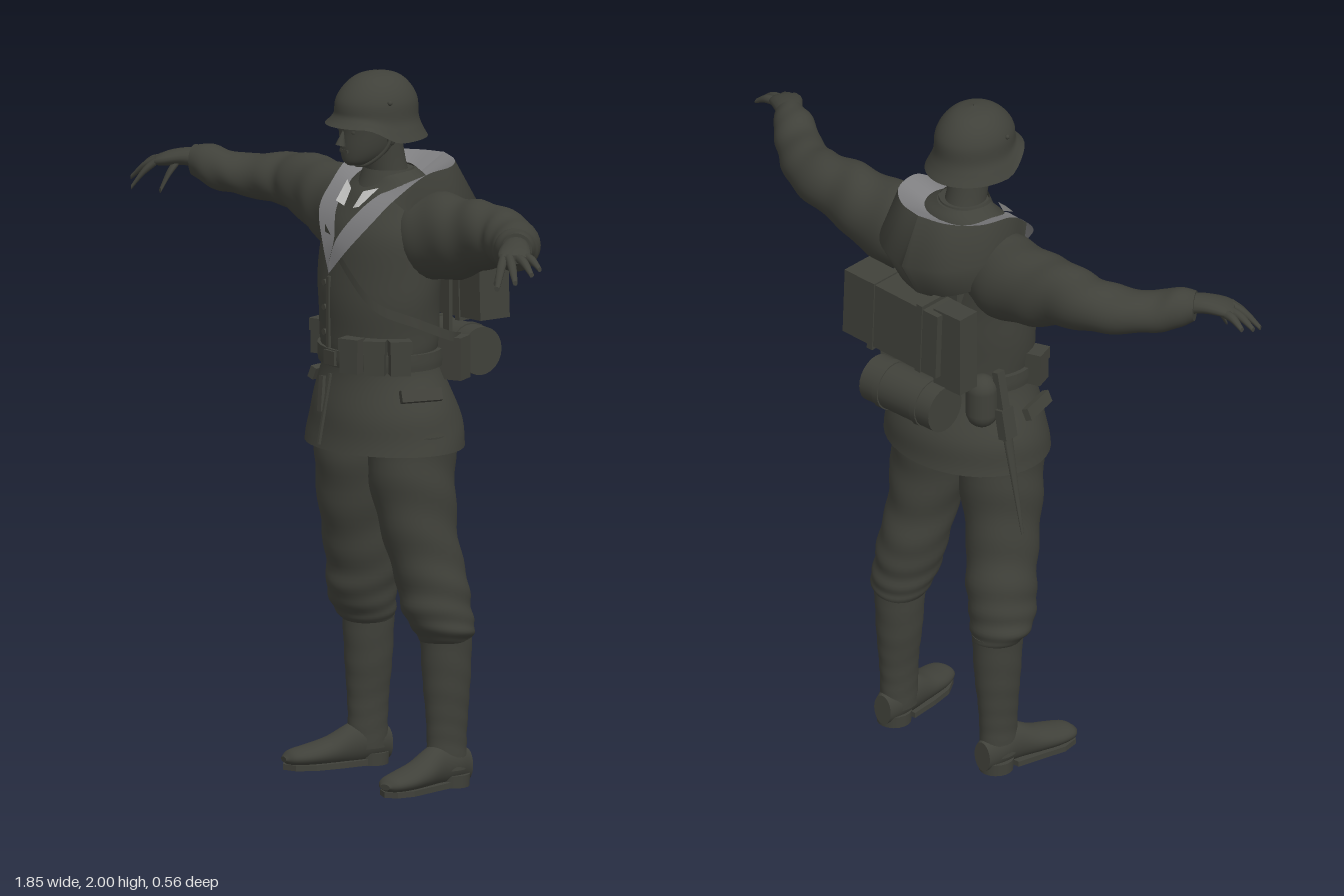
import * as THREE from 'three';

const cloth = new THREE.MeshStandardMaterial({ color: 0x40413a, side: THREE.DoubleSide });
cloth.name = 'dark field grey';
const lining = new THREE.MeshStandardMaterial({ color: 0x808082, side: THREE.DoubleSide });
lining.name = 'grey lining';
const pale = new THREE.MeshStandardMaterial({ color: 0xc4c4c2, side: THREE.DoubleSide });
pale.name = 'pale collar patch';

const V = (p) => new THREE.Vector3(...p);
const spline = (pts) => new THREE.CatmullRomCurve3(pts.map(V), false, 'catmullrom', 0.5);

// Grid of points to geometry
function gridGeometry(rows, closed, caps) {
  const pos = [], idx = [], n = rows[0].length;
  rows.forEach((r) => r.forEach((p) => pos.push(p.x, p.y, p.z)));
  const m = closed ? n : n - 1;
  for (let i = 0; i < rows.length - 1; i++) {
    for (let j = 0; j < m; j++) {
      const a = i * n + j, b = i * n + (j + 1) % n;
      idx.push(a, a + n, b, b, a + n, b + n);
    }
  }
  if (caps) {
    [[rows[0], 0], [rows[rows.length - 1], (rows.length - 1) * n]].forEach(([r, o], k) => {
      const c = r.reduce((s, p) => s.add(p), new THREE.Vector3()).divideScalar(n);
      const ci = pos.length / 3, ring = ci + 1;
      pos.push(c.x, c.y, c.z);
      r.forEach((p) => pos.push(p.x, p.y, p.z));
      for (let j = 0; j < n; j++) {
        const a = ring + j, b = ring + (j + 1) % n;
        k ? idx.push(a, ci, b) : idx.push(a, b, ci);
      }
    });
  }
  // Signed volume decides which way a closed form must wind
  let vol = 0;
  const at = (i) => new THREE.Vector3(pos[3 * i], pos[3 * i + 1], pos[3 * i + 2]);
  for (let i = 0; i < idx.length; i += 3) vol += at(idx[i]).dot(at(idx[i + 1]).cross(at(idx[i + 2])));
  if (closed && vol < 0) idx.reverse();
  const g = new THREE.BufferGeometry();
  g.setAttribute('position', new THREE.Float32BufferAttribute(pos, 3));
  g.setIndex(idx);
  g.computeVertexNormals();
  return g;
}

// Sections are [x, y, z, a, b]. Upright: a along x, b along z. Otherwise: a along y, b sideways.
function loft(secs, { upright = true, side = 1, fold = 0, seg = 28, caps = true, steps = 6 } = {}) {
  const path = spline(secs.map((s) => [s[0] * side, s[1], s[2]]));
  const size = spline(secs.map((s) => [s[3], s[4], 0]));
  const rows = [], count = (secs.length - 1) * steps;
  for (let i = 0; i <= count; i++) {
    const t = i / count, c = path.getPoint(t), r = size.getPoint(t), d = path.getTangent(t);
    const u = upright ? V([1, 0, 0]) : V([0, 1, 0]);
    const v = upright ? V([0, 0, 1]) : V([d.z, 0, -d.x]).normalize();
    const row = [];
    for (let j = 0; j < seg; j++) {
      const th = j / seg * Math.PI * 2;
      const k = 1 + fold * Math.sin(t * 38 + 3 * Math.sin(th + 0.6) * side);
      row.push(c.clone().addScaledVector(u, r.x * k * Math.cos(th)).addScaledVector(v, r.y * k * Math.sin(th)));
    }
    rows.push(row);
  }
  return gridGeometry(rows, true, caps);
}

// Open sheet through matching curves
function sheet(rows, n = 28, side = 1) {
  return gridGeometry(rows.map((r) => spline(r.map((p) => [p[0] * side, p[1], p[2]])).getPoints(n)), false, false);
}
const strapSheet = (pts, w) => sheet([-w, w].map((o) => pts.map((p) => [p[0], p[1] + o, p[2]])));

export function createModel() {
  const group = new THREE.Group();
  const add = (name, geo, mat = cloth, p = [0, 0, 0], r = [0, 0, 0]) => {
    const m = new THREE.Mesh(geo, mat);
    m.name = name;
    m.position.set(...p);
    m.rotation.set(...r);
    group.add(m);
    return m;
  };
  const box = (name, s, p, r, mat) => add(name, new THREE.BoxGeometry(...s), mat, p, r);

  // Jacket with flared skirt
  add('jacket', loft([[0, 0.95, 0.03, 0.252, 0.205], [0, 1.05, 0.03, 0.235, 0.19], [0, 1.18, 0.045, 0.185, 0.15],
    [0, 1.26, 0.05, 0.19, 0.15], [0, 1.4, 0.05, 0.203, 0.15], [0, 1.55, 0.035, 0.205, 0.145],
    [0, 1.64, 0.015, 0.17, 0.12], [0, 1.69, 0.005, 0.12, 0.09], [0, 1.72, 0.01, 0.07, 0.07]], { seg: 40, fold: 0.008 }));
  box('jacketPlacket', [0.012, 0.2, 0.01], [-0.03, 1.33, 0.2]);
  box('skirtOpening', [0.008, 0.2, 0.008], [-0.02, 1.06, 0.222], [-0.2, 0, 0]);
  box('hangingTie', [0.018, 0.1, 0.01], [-0.04, 1.1, 0.218], [-0.15, 0, 0.1]);
  for (let i = 0; i < 3; i++) {
    add('button', new THREE.CylinderGeometry(0.009, 0.009, 0.008, 10), cloth, [-0.05, 1.27 + i * 0.07, 0.2], [Math.PI / 2, 0, 0]);
  }

  // Neck, head and face
  add('neck', loft([[0, 1.66, 0.01, 0.062, 0.064], [0, 1.74, 0.03, 0.055, 0.06], [0, 1.82, 0.05, 0.055, 0.065]]));
  add('head', loft([[0, 1.743, 0.125, 0.022, 0.03], [0, 1.755, 0.112, 0.042, 0.055], [0, 1.785, 0.092, 0.061, 0.08],
    [0, 1.83, 0.082, 0.072, 0.091], [0, 1.88, 0.077, 0.076, 0.096], [0, 1.94, 0.065, 0.065, 0.08]]));
  add('nose', new THREE.ConeGeometry(0.015, 0.05, 8), cloth, [0, 1.825, 0.176], [-0.25, 0, 0]);
  box('mouth', [0.036, 0.008, 0.012], [0, 1.785, 0.167]);
  add('innerCollar', loft([[0, 1.63, 0.025, 0.1, 0.105], [0, 1.68, 0.02, 0.085, 0.085], [0, 1.725, 0.018, 0.07, 0.07]], { caps: false }));

  // Helmet: dome and flared rim, raised over the face
  const helmet = loft([[0, 1.813, 0.06, 0.128, 0.15], [0, 1.84, 0.06, 0.116, 0.134], [0, 1.87, 0.06, 0.105, 0.124],
    [0, 1.92, 0.06, 0.101, 0.12], [0, 1.96, 0.058, 0.082, 0.096], [0, 1.988, 0.056, 0.05, 0.058], [0, 2, 0.055, 0.002, 0.002]],
  { seg: 40, caps: false });
  const hp = helmet.attributes.position;
  for (let i = 0; i < hp.count; i++) {
    const lift = THREE.MathUtils.smoothstep(hp.getZ(i), 0.06, 0.17) * Math.max(0, 1.9 - hp.getY(i)) * 0.5;
    hp.setY(i, hp.getY(i) + lift);
  }
  helmet.computeVertexNormals();
  add('helmet', helmet);

  // Open hood: grey turned-out lapel and the bag behind
  const rim = [[-0.02, 1.44, 0.208], [0.06, 1.52, 0.2], [0.125, 1.6, 0.165], [0.15, 1.66, 0.11], [0.175, 1.725, 0.02],
    [0.155, 1.735, -0.08], [0.085, 1.738, -0.145], [0, 1.742, -0.17]];
  const throat = [[-0.02, 1.47, 0.208], [0.005, 1.54, 0.2], [0.045, 1.61, 0.165], [0.075, 1.665, 0.105], [0.088, 1.69, 0.02],
    [0.08, 1.69, -0.04], [0.05, 1.69, -0.07], [0, 1.69, -0.08]];
  const fall = [[0.17, 1.63, 0.08], [0.19, 1.65, 0.0], [0.185, 1.63, -0.1], [0.115, 1.62, -0.2], [0, 1.61, -0.237]];
  const hem = [[0.17, 1.6, 0.06], [0.18, 1.58, -0.01], [0.16, 1.54, -0.09], [0.09, 1.51, -0.15], [0, 1.49, -0.17]];
  for (const s of [1, -1]) {
    // The lapels meet at the same low point, just off centre
    const shift = (c) => c.map((p, i) => (i === 0 ? [-0.02 * s, p[1], p[2]] : p));
    add('hoodLining', sheet([shift(rim), shift(throat)], 40, s), lining);
    add('hoodBag', sheet([rim.slice(3), fall, hem], 28, s));
    add('collarPatch', sheet([[[0.075, 1.685, 0.105], [0.028, 1.67, 0.125]], [[0.055, 1.635, 0.158], [0.02, 1.625, 0.155]]], 2, s), pale);

    // Face details and chin strap
    box('brow', [0.032, 0.009, 0.02], [s * 0.03, 1.853, 0.158], [0, s * 0.35, 0]);
    add('eye', new THREE.SphereGeometry(0.01, 10, 8), cloth, [s * 0.029, 1.84, 0.156]);
    add('ear', new THREE.SphereGeometry(0.02, 10, 8), cloth, [s * 0.073, 1.825, 0.06]).scale.set(0.5, 1.3, 0.8);
    add('chinStrap', new THREE.TubeGeometry(spline([[s * 0.088, 1.85, 0.06], [s * 0.078, 1.79, 0.085], [s * 0.04, 1.748, 0.115], [0, 1.738, 0.125]]), 16, 0.005, 6));
    add('helmetRivet', new THREE.SphereGeometry(0.007, 8, 6), cloth, [s * 0.1, 1.925, 0.085]);

    // Sleeve and cuff
    add('sleeve', loft([[0.08, 1.56, -0.005, 0.09, 0.09], [0.18, 1.555, -0.01, 0.122, 0.11], [0.3, 1.565, -0.018, 0.113, 0.1],
      [0.4, 1.588, -0.02, 0.097, 0.086], [0.5, 1.598, -0.02, 0.078, 0.08], [0.58, 1.597, 0.01, 0.067, 0.074],
      [0.66, 1.6, 0.06, 0.057, 0.064], [0.715, 1.615, 0.1, 0.06, 0.06], [0.765, 1.63, 0.132, 0.043, 0.043]],
    { upright: false, side: s, fold: 0.03 }));

    // Hand with spread fingers
    add('palm', loft([[0.745, 1.635, 0.12, 0.03, 0.034], [0.785, 1.638, 0.15, 0.024, 0.04], [0.825, 1.63, 0.182, 0.02, 0.046],
      [0.85, 1.622, 0.2, 0.012, 0.04]], { upright: false, side: s, seg: 16 }));
    [[0.85, 0.163, 0.915, 0.16, 1.6], [0.848, 0.185, 0.925, 0.195, 1.59], [0.838, 0.208, 0.91, 0.24, 1.57],
      [0.825, 0.218, 0.868, 0.272, 1.55], [0.785, 0.175, 0.795, 0.225, 1.548]].forEach(([x0, z0, x1, z1, y1]) => {
      add('finger', loft([[x0, 1.625, z0, 0.013, 0.013], [(x0 + x1) / 2, (1.64 + y1) / 2, (z0 + z1) / 2, 0.012, 0.012],
        [x1, y1, z1, 0.007, 0.007]], { upright: false, side: s, seg: 10 }));
    });

    // Breeches gathered into the boot
    add('trouserLeg', loft([[0.122, 1.0, 0.03, 0.12, 0.13], [0.13, 0.85, 0.03, 0.112, 0.122], [0.148, 0.7, 0.015, 0.097, 0.108],
      [0.165, 0.58, -0.01, 0.095, 0.103], [0.178, 0.5, -0.018, 0.09, 0.1], [0.187, 0.445, -0.035, 0.086, 0.087],
      [0.182, 0.41, -0.045, 0.066, 0.072]], { side: s, fold: 0.025 }));
    add('bootShaft', loft([[0.184, 0.43, -0.045, 0.069, 0.075], [0.185, 0.3, -0.046, 0.06, 0.07], [0.187, 0.2, -0.046, 0.049, 0.063],
      [0.187, 0.12, -0.045, 0.045, 0.06], [0.19, 0.05, -0.045, 0.048, 0.063]], { side: s, fold: 0.012 }));
    add('bootFoot', loft([[0.188, 0.055, -0.112, 0.045, 0.03], [0.19, 0.065, -0.06, 0.055, 0.046], [0.195, 0.065, 0, 0.058, 0.045],
      [0.21, 0.048, 0.07, 0.04, 0.05], [0.223, 0.04, 0.13, 0.03, 0.053], [0.235, 0.036, 0.18, 0.022, 0.042],
      [0.24, 0.033, 0.203, 0.008, 0.018]], { upright: false, side: s }));
    const sole = new THREE.Shape([[0.15, -0.02], [0.158, 0.07], [0.17, 0.14], [0.2, 0.19], [0.24, 0.205], [0.27, 0.18],
      [0.278, 0.13], [0.26, 0.06], [0.24, -0.02]].map(([x, z]) => new THREE.Vector2(x * s, -z)));
    add('bootSole', new THREE.ExtrudeGeometry(sole, { depth: 0.016, bevelEnabled: false }), cloth, [0, 0.004, 0], [-Math.PI / 2, 0, 0]);
    add('bootHeel', new THREE.CylinderGeometry(0.05, 0.048, 0.035, 18), cloth, [s * 0.192, 0.0175, -0.06]);

    // Skirt pocket flap and back brace
    box('pocketFlap', [0.02, 0.035, 0.12], [s * 0.226, 1.12, 0.07], [0, -s * 0.25, s * 0.4]);
    add('backBrace', strapSheet([[s * 0.13, 1.6, -0.09], [s * 0.1, 1.45, -0.12], [s * 0.09, 1.3, -0.125], [s * 0.1, 1.2, -0.1]], 0.02));
    box('braceStrap', [0.028, 0.3, 0.012], [s * 0.09, 1.36, -0.118]);
  }

  // Belt, buckle and diagonal strap
  add('belt', loft([[0, 1.18, 0.045, 0.195, 0.16], [0, 1.2, 0.046, 0.197, 0.162], [0, 1.228, 0.047, 0.197, 0.16]], { seg: 40 }));
  box('beltBuckle', [0.05, 0.04, 0.012], [-0.01, 1.205, 0.208]);
  add('shoulderStrap', strapSheet([[-0.06, 1.56, 0.192], [0.06, 1.46, 0.203], [0.15, 1.37, 0.172], [0.205, 1.32, 0.07], [0.195, 1.27, -0.05], [0.15, 1.25, -0.12]], 0.014));

  // Ammunition pouches follow the belt
  [0.42, 0.78, 1.14, -1.25].forEach((a) => {
    const p = [Math.sin(a) * 0.208, 1.225, 0.045 + Math.cos(a) * 0.172];
    box('pouch', [0.056, 0.095, 0.045], p, [0, a, 0]);
    box('pouchFlap', [0.062, 0.035, 0.053], [p[0], 1.258, p[2]], [0, a, 0]);
  });

  // Pack, blanket roll and small kit on the back
  box('packBox', [0.35, 0.2, 0.1], [0.05, 1.4, -0.18], [0, 0, 0.04]);
  box('packFrame', [0.1, 0.24, 0.07], [-0.145, 1.38, -0.175]);
  [-0.06, 0.12].forEach((x) => box('packStrap', [0.02, 0.215, 0.108], [x, 1.4, -0.18], [0, 0, 0.04]));
  add('blanketRoll', new THREE.CylinderGeometry(0.068, 0.068, 0.26, 24), cloth, [-0.01, 1.195, -0.212], [0, 0, Math.PI / 2]);
  [-0.08, 0.06].forEach((x) => add('rollStrap', new THREE.CylinderGeometry(0.072, 0.072, 0.02, 24), cloth, [x, 1.195, -0.212], [0, 0, Math.PI / 2]));
  add('canteen', new THREE.CapsuleGeometry(0.045, 0.07, 6, 16), cloth, [-0.175, 1.19, -0.1]);
  box('sideBag', [0.07, 0.12, 0.06], [0.16, 1.2, -0.09], [0, 0.5, 0]);

  // Sheathed blade at the hip
  const blade = new THREE.CylinderGeometry(0.02, 0.005, 0.36, 10).scale(0.5, 1, 1);
  add('bladeSheath', blade, cloth, [-0.267, 0.975, -0.07], [0, 0, -0.19]);
  box('bladeHandle', [0.022, 0.14, 0.028], [-0.222, 1.215, -0.07], [0, 0, -0.19]);
  box('bladeFrog', [0.03, 0.09, 0.045], [-0.238, 1.13, -0.07], [0, 0, -0.19]);

  return group;
}
